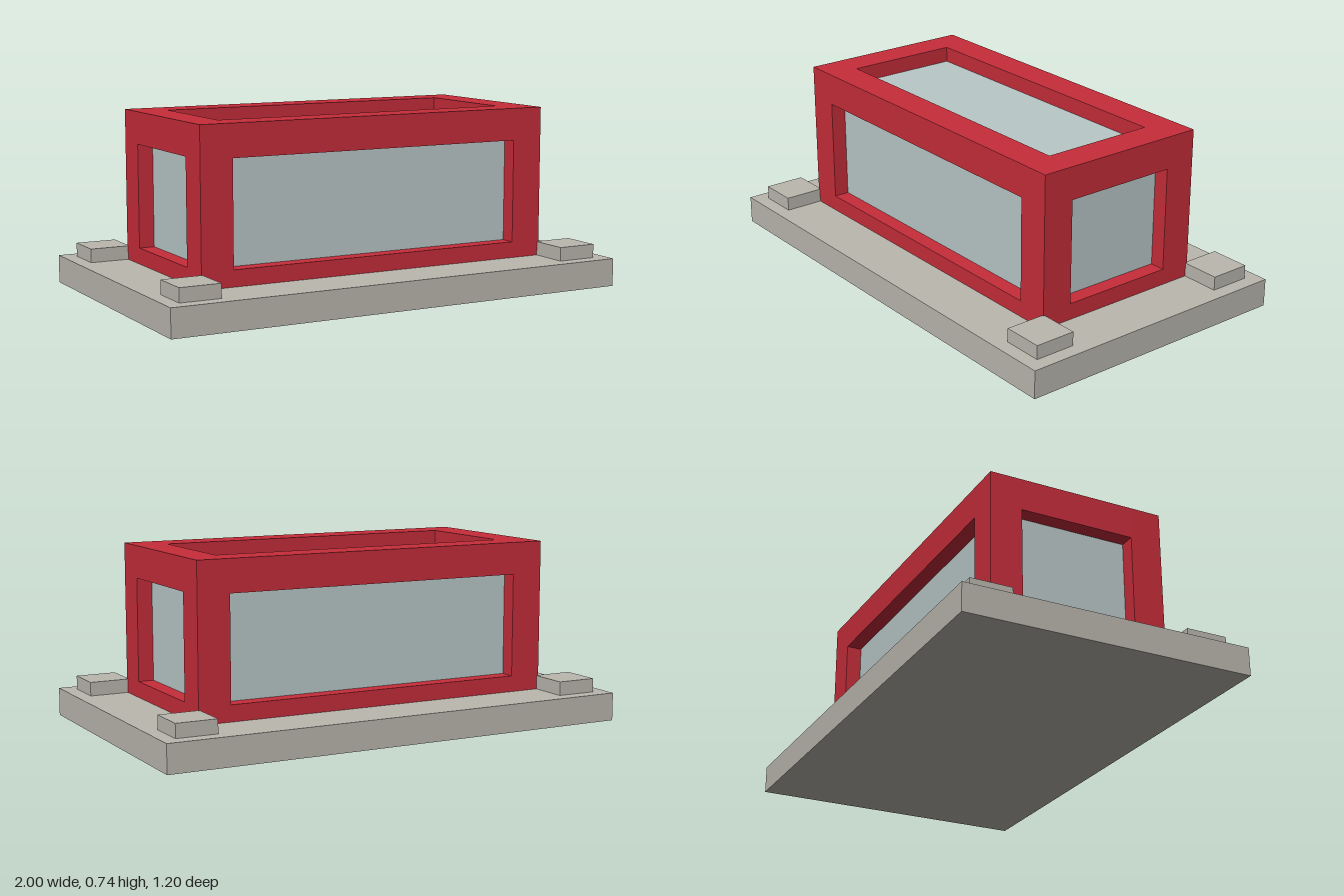
import * as THREE from 'three';

const red = new THREE.MeshStandardMaterial({ color: 0xc62d3a });
red.name = 'red frame';
const stone = new THREE.MeshStandardMaterial({ color: 0xbbb7af });
stone.name = 'stone grey';
const glass = new THREE.MeshStandardMaterial({ color: 0xbac8c8 });
glass.name = 'pale glass';

// Box given by its lower and upper limits on each axis
function block(parent, name, material, [x0, x1], [y0, y1], [z0, z1]) {
  const mesh = new THREE.Mesh(new THREE.BoxGeometry(x1 - x0, y1 - y0, z1 - z0), material);
  mesh.position.set((x0 + x1) / 2, (y0 + y1) / 2, (z0 + z1) / 2);
  mesh.name = name;
  parent.add(mesh);
}

// Limits of a span on one side of the centre
const span = (side, inner, outer) => (side > 0 ? [inner, outer] : [-outer, -inner]);

export function createModel() {
  const model = new THREE.Group();
  model.name = 'glazedPavilion';

  const slabTop = 0.116, sill = 0.183, lintel = 0.61, roof = 0.743;
  const outX = 0.778, inX = 0.643, outZ = 0.374, inZ = 0.241;
  const recess = 0.065;

  // Ground slab with a low block at each corner
  block(model, 'baseSlab', stone, [-1, 1], [0, slabTop], [-0.598, 0.598]);
  for (const sx of [-1, 1]) for (const sz of [-1, 1])
    block(model, 'cornerBlock', stone, span(sx, 0.771, 0.941), [slabTop, 0.173], span(sz, 0.367, 0.539));

  // Box frame: four posts joined by bottom and top rails
  const frame = new THREE.Group();
  frame.name = 'frame';
  model.add(frame);
  for (const sx of [-1, 1]) for (const sz of [-1, 1])
    block(frame, 'post', red, span(sx, inX, outX), [slabTop, roof], span(sz, inZ, outZ));
  for (const [name, height] of [['bottomRail', [slabTop, sill]], ['topRail', [lintel, roof]]])
    for (const s of [-1, 1]) {
      block(frame, name + 'Long', red, [-inX, inX], height, span(s, inZ, outZ));
      block(frame, name + 'Short', red, span(s, inX, outX), height, [-inZ, inZ]);
    }

  // Glass volume set back behind the frame openings
  block(model, 'glazing', glass, [-outX + recess, outX - recess], [0.15, roof - recess],
    [-outZ + recess, outZ - recess]);

  return model;
}
